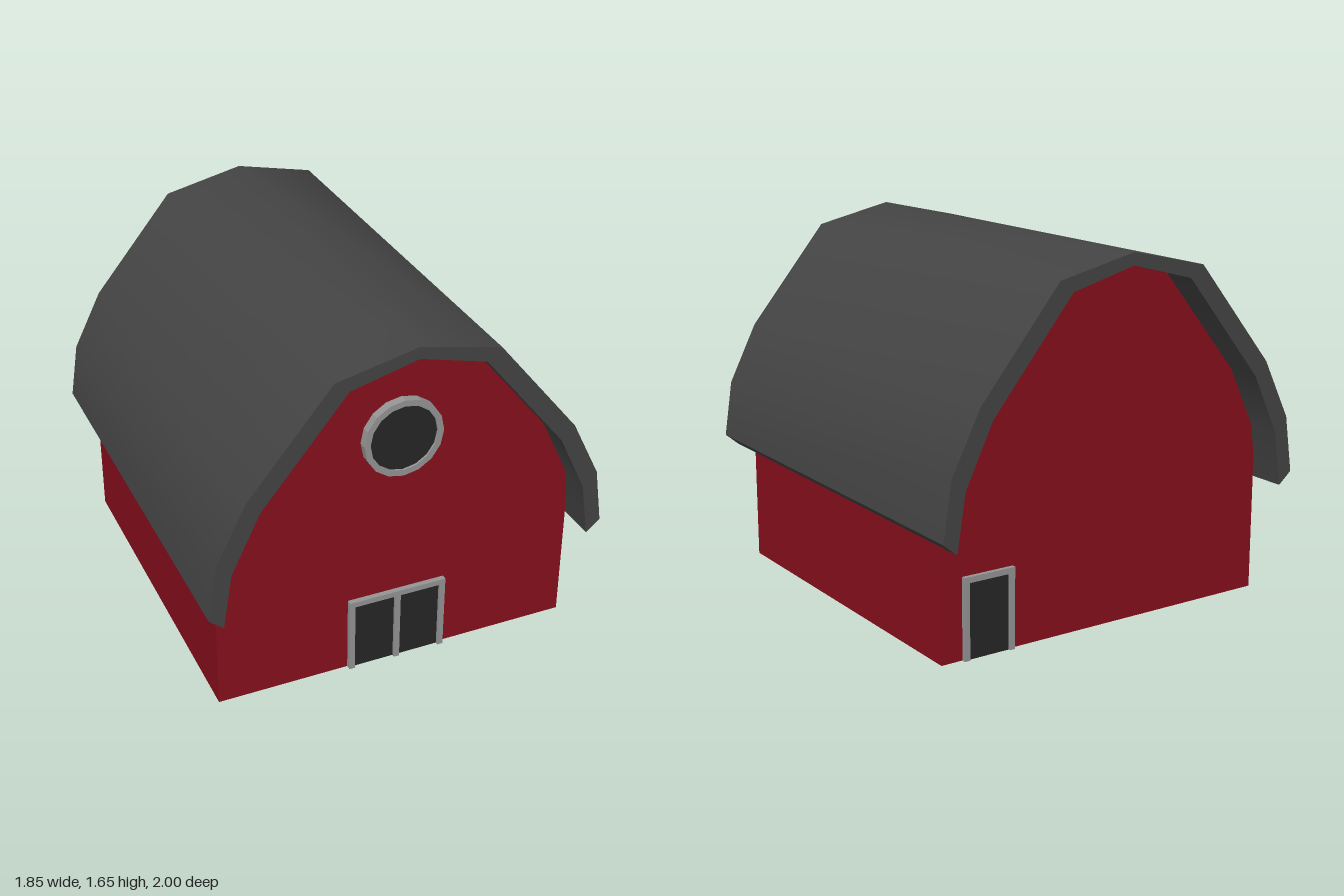
import * as THREE from 'three';
import { toCreasedNormals } from 'three/addons/utils/BufferGeometryUtils.js';

const mat = (color) => new THREE.MeshStandardMaterial({ color });
const RED = mat(0x860f1c), ROOF = mat(0x444444), TRIM = mat(0x949494), DARK = mat(0x262626);
const WALL_Z = 0.845;

// Right half of a profile, from eave to ridge, mirrored to the left half
const mirror = (half) => [...half, ...half.slice(0, -1).reverse().map(([x, y]) => [-x, y])];

const toShape = (points) => new THREE.Shape(points.map(([x, y]) => new THREE.Vector2(x, y)));

function mesh(name, geometry, material, x = 0, y = 0, z = 0) {
  const m = new THREE.Mesh(geometry, material);
  m.name = name;
  m.position.set(x, y, z);
  return m;
}

// Extrusion centred on z = 0
function extrude(shape, depth) {
  const g = new THREE.ExtrudeGeometry(shape, { depth, bevelEnabled: false, curveSegments: 16 });
  return g.translate(0, 0, -depth / 2);
}

// Door standing on the ground with its back on z = 0, facing +z
function createDoor(name, width, height, depth, leaves) {
  const door = new THREE.Group();
  door.name = name;
  const t = 0.026;
  door.add(mesh('doorPanel', new THREE.BoxGeometry(width - t, height - t, 0.01), DARK, 0, (height - t) / 2, 0.005));
  door.add(mesh('doorLintel', new THREE.BoxGeometry(width, t, depth), TRIM, 0, height - t / 2, depth / 2));
  for (let i = 0; i <= leaves; i++) {
    const x = (i / leaves - 0.5) * (width - t);
    door.add(mesh('doorPost', new THREE.BoxGeometry(t, height - t, depth), TRIM, x, (height - t) / 2, depth / 2));
  }
  return door;
}

export function createModel() {
  const barn = new THREE.Group();
  barn.name = 'barn';

  // Underside of the roof, shared by the gable walls
  const inner = [[0.82, 0.78], [0.69, 1.05], [0.305, 1.52], [0, 1.6]];
  const outer = [[0.925, 0.58], [0.885, 0.84], [0.75, 1.11], [0.37, 1.572], [0, 1.655]];

  // Walls with gables
  const wallShape = toShape(mirror([[0.842, 0], [0.842, 0.63], ...inner]));
  barn.add(mesh('walls', extrude(wallShape, WALL_Z * 2), RED));

  // Curved roof shell, smooth across its folds
  const shell = [...mirror(outer), ...mirror([[0.86, 0.525], ...inner]).reverse()];
  barn.add(mesh('roof', toCreasedNormals(extrude(toShape(shell), 2), 0.8), ROOF));

  // Double door in front, single door at the back
  const frontDoor = createDoor('frontDoor', 0.464, 0.365, 0.025, 2);
  frontDoor.position.z = WALL_Z;
  const backDoor = createDoor('backDoor', 0.25, 0.365, 0.02, 1);
  backDoor.position.set(0.615, 0, -WALL_Z);
  backDoor.rotation.y = Math.PI;
  barn.add(frontDoor, backDoor);

  // Round window: ring and pane
  const ringPoints = (r) => Array.from({ length: 16 }, (_, i) => {
    const a = (i / 16) * Math.PI * 2;
    return [r * Math.cos(a), r * Math.sin(a)];
  });
  const ring = toShape(ringPoints(0.183));
  ring.holes.push(toShape(ringPoints(0.155)));
  const roundWindow = new THREE.Group();
  roundWindow.name = 'roundWindow';
  roundWindow.position.set(0, 1.164, WALL_Z);
  roundWindow.add(mesh('windowRing', extrude(ring, 0.04), TRIM, 0, 0, 0.02));
  roundWindow.add(mesh('windowPane', extrude(toShape(ringPoints(0.16)), 0.03), DARK, 0, 0, 0.015));
  barn.add(roundWindow);

  return barn;
}
